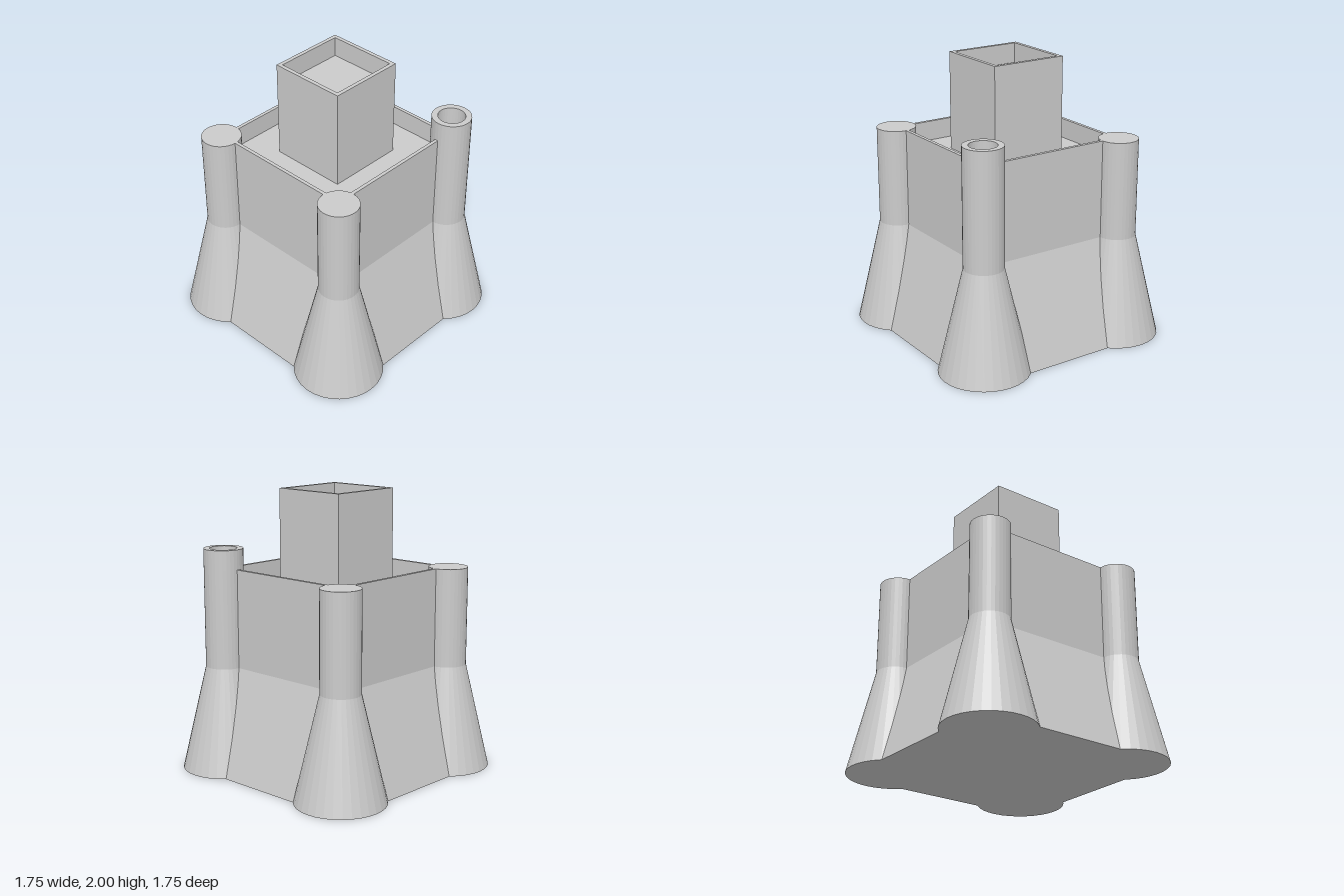
import * as THREE from 'three';

const material = new THREE.MeshStandardMaterial({ color: 0xcccccc, flatShading: true });

// Revolve an outline of [half width, height] pairs, listed from bottom centre to top centre
function revolve(name, outline, sides, start = 0, scale = 1) {
  const points = outline.map(([r, y]) => new THREE.Vector2(r * scale, y));
  const mesh = new THREE.Mesh(new THREE.LatheGeometry(points, sides, start), material);
  mesh.name = name;
  return mesh;
}

// Four-sided revolve whose flat sides face the axes
const squareBlock = (name, outline) => revolve(name, outline, 4, Math.PI / 4, Math.SQRT2);

export function createModel() {
  const castle = new THREE.Group();
  castle.name = 'castle';

  const flareY = 0.745, wallY = 1.445, parapet = 0.14;
  const corner = 0.557;

  // Curtain wall with sloping base, thin parapet and sunken roof
  castle.add(squareBlock('curtainWall', [
    [0, 0], [0.777, 0], [corner, flareY], [corner, wallY],
    [0.532, wallY], [0.532, wallY - parapet], [0, wallY - parapet],
  ]));

  // Central keep with its own parapet
  castle.add(squareBlock('keep', [
    [0, wallY - parapet], [0.278, wallY - parapet], [0.278, 2],
    [0.25, 2], [0.25, 2 - parapet], [0, 2 - parapet],
  ]));

  // Corner towers: three flat-topped, the back left one taller and hollow at the top
  const shaft = [[0, 0], [0.316, 0], [0.139, flareY], [0.139, wallY]];
  const flatTop = [[0, wallY]];
  const hollowTop = [
    [0.139, wallY + parapet], [0.096, wallY + parapet], [0.096, wallY], [0, wallY],
  ];
  for (const x of [-1, 1]) {
    for (const z of [-1, 1]) {
      const tall = x === 1 && z === -1;
      const name = (z > 0 ? 'front' : 'back') + (x > 0 ? 'Left' : 'Right') + 'Tower';
      const tower = revolve(name, [...shaft, ...(tall ? hollowTop : flatTop)], 32);
      tower.position.set(x * corner, 0, z * corner);
      castle.add(tower);
    }
  }
  return castle;
}
